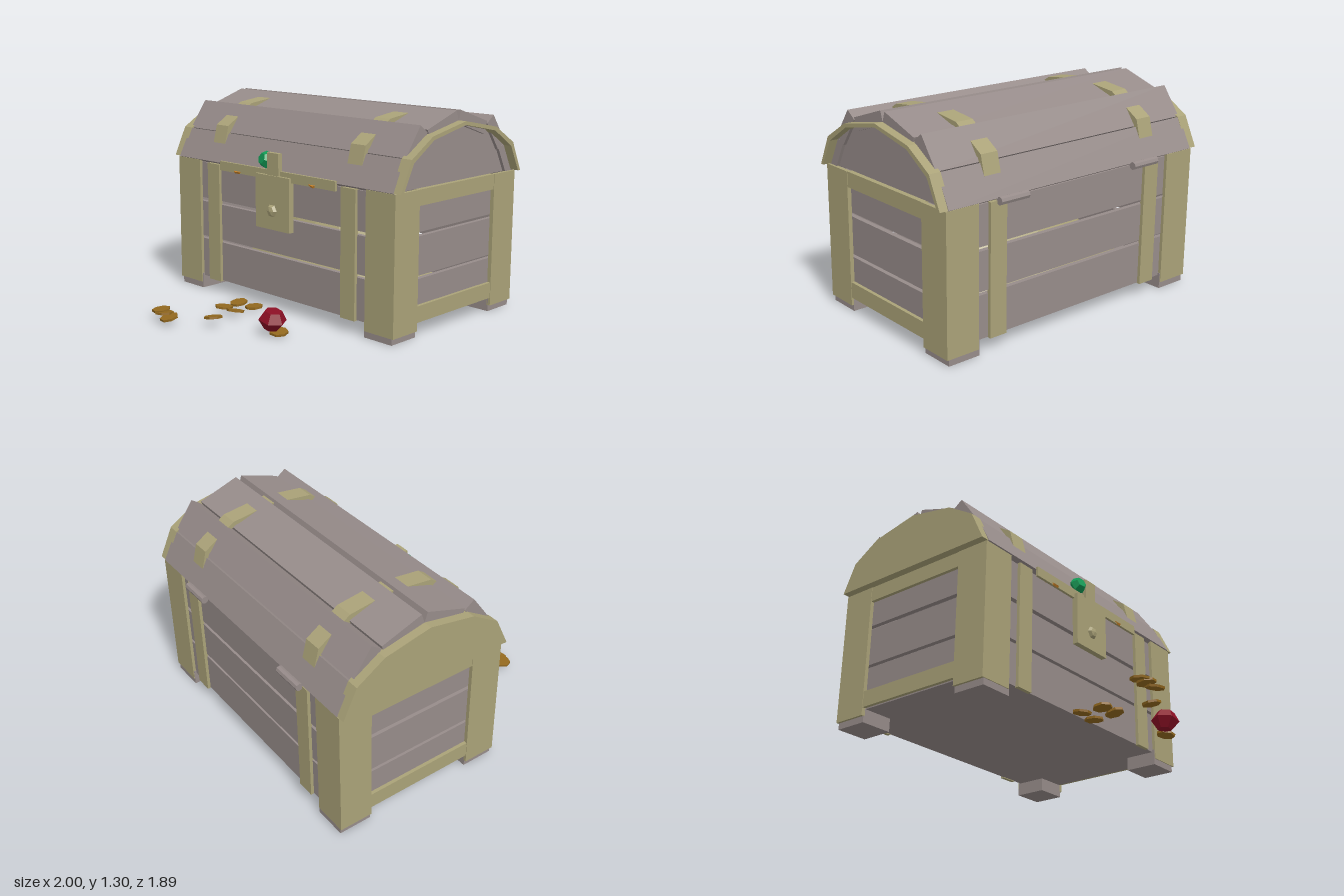
import * as THREE from 'three';

const mat = (name, color) => {
  const m = new THREE.MeshStandardMaterial({ color, flatShading: true });
  m.name = name;
  return m;
};

export function createModel() {
  const wood = mat('grey wood', 0x978c8a);
  const brass = mat('pale brass', 0xaaa278);
  const gold = mat('dark gold', 0x93691f);
  const amber = mat('amber gold', 0xc98228);
  const green = mat('green gem', 0x109a55);
  const red = mat('red gem', 0x8a0f24);

  const model = new THREE.Group();
  model.name = 'treasureChest';
  const MID = -0.335; // chest centre along z
  const chest = new THREE.Group();
  chest.name = 'chest';
  chest.position.z = MID;
  model.add(chest);

  const add = (parent, name, geo, material, x = 0, y = 0, z = 0) => {
    const m = new THREE.Mesh(geo, material);
    m.name = name;
    m.position.set(x, y, z);
    parent.add(m);
    return m;
  };
  // Box given by its extents
  const box = (name, material, x0, x1, y0, y1, z0, z1) =>
    add(chest, name, new THREE.BoxGeometry(x1 - x0, y1 - y0, z1 - z0), material,
      (x0 + x1) / 2, (y0 + y1) / 2, (z0 + z1) / 2);
  // Box mirrored to the other side in x
  const boxX = (name, m, x0, x1, ...r) => {
    box(name, m, x0, x1, ...r);
    box(name, m, -x1, -x0, ...r);
  };
  // Box mirrored in x and z
  const box4 = (name, m, x0, x1, y0, y1, z0, z1) => {
    boxX(name, m, x0, x1, y0, y1, z0, z1);
    boxX(name, m, x0, x1, y0, y1, -z1, -z0);
  };
  // Prism running along x with a (z, y) outline
  const prism = (name, material, pts, x0, x1) => {
    const shape = new THREE.Shape(pts.map(p => new THREE.Vector2(p[0], p[1])));
    const geo = new THREE.ExtrudeGeometry(shape, { depth: x1 - x0, bevelEnabled: false });
    geo.rotateY(-Math.PI / 2);
    return add(chest, name, geo, material, x1, 0, 0);
  };

  // Feet and floor
  box4('foot', wood, 0.735, 0.945, 0, 0.1, 0.36, 0.57);
  box('floor', wood, -0.93, 0.93, 0.085, 0.11, -0.555, 0.555);

  // Slatted walls
  for (const [y0, y1] of [[0.095, 0.345], [0.365, 0.6], [0.625, 0.865]]) {
    for (const s of [-1, 1]) {
      box('longPlank', wood, -0.93, 0.93, y0, y1, s * 0.54 - 0.015, s * 0.54 + 0.015);
      box('endPlank', wood, s * 0.92 - 0.015, s * 0.92 + 0.015, y0, y1, -0.52, 0.52);
    }
  }

  // Corner posts, end rails and upright straps
  box4('cornerPost', brass, 0.74, 0.945, 0.04, 0.88, 0.555, 0.575);
  box4('endPost', brass, 0.935, 0.96, 0.04, 0.88, 0.36, 0.575);
  boxX('topRail', brass, 0.91, 0.957, 0.785, 0.88, -0.36, 0.36);
  boxX('bottomRail', brass, 0.935, 0.957, 0.09, 0.19, -0.36, 0.36);
  box4('uprightStrap', brass, 0.545, 0.66, 0.08, 0.87, 0.55, 0.575);

  // Lid planks: each pair gives the lower and upper outer corner
  const T = 0.08;
  for (const [[az, ay], [bz, by]] of [
    [[0.58, 0.885], [0.485, 1.068]],
    [[0.475, 1.07], [0.35, 1.245]],
    [[0.285, 1.213], [0.02, 1.302]],
  ]) {
    const len = Math.hypot(bz - az, by - ay);
    const nz = -(by - ay) / len * T, ny = (bz - az) / len * T;
    for (const s of [1, -1]) {
      prism('lidPlank', wood, [[az * s, ay], [bz * s, by],
        [(bz + nz) * s, by + ny], [(az + nz) * s, ay + ny]], -0.945, 0.945);
    }
  }

  // Arched bands: half outline mirrored, with a parallel inner edge
  const arch = (half) => [...half, ...half.slice(0, -1).reverse().map(([z, y]) => [-z, y])];
  const band = (name, half, t, x0, x1) => {
    const outer = arch(half);
    const inner = arch(half.map(([z, y]) => [z * (1 - t / 0.55), y === half[0][1] ? y : y - t]));
    for (const s of [1, -1]) {
      prism(name, brass, [...outer, ...inner.reverse()], s > 0 ? x0 : -x1, s > 0 ? x1 : -x0);
    }
  };
  const rim = [[0.575, 0.885], [0.487, 1.07], [0.305, 1.182], [0, 1.242]];
  band('endRim', rim, 0.022, 0.925, 1.0);
  band('lidStrap', [[0.55, 0.885], [0.49, 1.115], [0.28, 1.25], [0, 1.285]], 0.025, 0.545, 0.66);

  // Lid end panels
  for (const s of [1, -1]) {
    prism('lidEndPanel', wood, arch(rim.map(([z, y]) => [z * 0.97, Math.max(0.88, y - 0.02)])),
      s * 0.91 - 0.015, s * 0.91 + 0.015);
  }

  // Hinges on the back
  for (const s of [1, -1]) {
    const hinge = add(chest, 'hinge', new THREE.CylinderGeometry(0.024, 0.024, 0.2, 8), wood,
      s * 0.515, 0.872, -0.592);
    hinge.rotation.z = Math.PI / 2;
  }

  // Lock, hasp and front bar
  box('frontBar', brass, -0.515, 0.515, 0.84, 0.9, 0.575, 0.592);
  box('lockPlate', brass, -0.15, 0.15, 0.53, 0.87, 0.575, 0.612);
  box('hasp', brass, -0.05, 0.05, 0.86, 1.01, 0.575, 0.605);
  const knob = add(chest, 'lockKnob', new THREE.SphereGeometry(0.042, 6, 4), brass, 0, 0.65, 0.612);
  knob.rotation.x = Math.PI / 2;
  knob.scale.y = 0.6;

  // Hoard inside, glimpsed between the slats
  const pile = add(chest, 'hoard', new THREE.ConeGeometry(1, 0.7, 12), brass, 0, 0.46, 0.02);
  pile.scale.set(0.87, 1, 0.5);

  // Coins
  const coinGeo = new THREE.CylinderGeometry(0.057, 0.057, 0.014, 7);
  const coin = (x, y, z, rx, rz, material = gold) => {
    const c = add(model, 'coin', coinGeo, material, x, y, z);
    c.rotation.set(rx, x * 9, rz);
  };
  for (const [x, y, z, rx, rz] of [
    [-0.23, 0.03, 0.36, 0.08, -0.08], [-0.095, 0.03, 0.35, 0.1, 0.1],
    [-0.215, 0.035, 0.495, -0.12, 0], [-0.10, 0.036, 0.5, -0.15, 0.12],
    [-0.05, 0.055, 0.72, 0, 0.18], [-0.38, 0.06, 0.86, 0.1, -0.08],
    [-0.335, 0.052, 0.87, -0.1, -0.1], [-0.27, 0.04, 0.885, 0.15, -0.1],
    [0.355, 0.02, 0.56, 0.1, 0.1],
  ]) coin(x, y, z, rx, rz);
  // Coins caught under the lid
  for (const x of [-0.345, -0.11, 0.04, 0.325]) coin(x, 0.868, 0.215, 0.5, 0, amber);

  // Cut gems
  const gem = (name, material, r, x, y, z, tilt) => {
    const pts = [[0, -0.85], [0.5, -0.65], [1, 0.05], [0.62, 0.7], [0, 0.7]]
      .map(([a, b]) => new THREE.Vector2(a * r, b * r));
    const g = add(model, name, new THREE.LatheGeometry(pts, 6), material, x, y, z);
    g.rotation.set(...tilt);
  };
  gem('redGem', red, 0.086, 0.322, 0.088, 0.58, [0.1, 0.5, -0.2]);
  gem('greenGem', green, 0.058, -0.09, 0.955, 0.235, [1.2, 0.3, 0.2]);

  return model;
}
